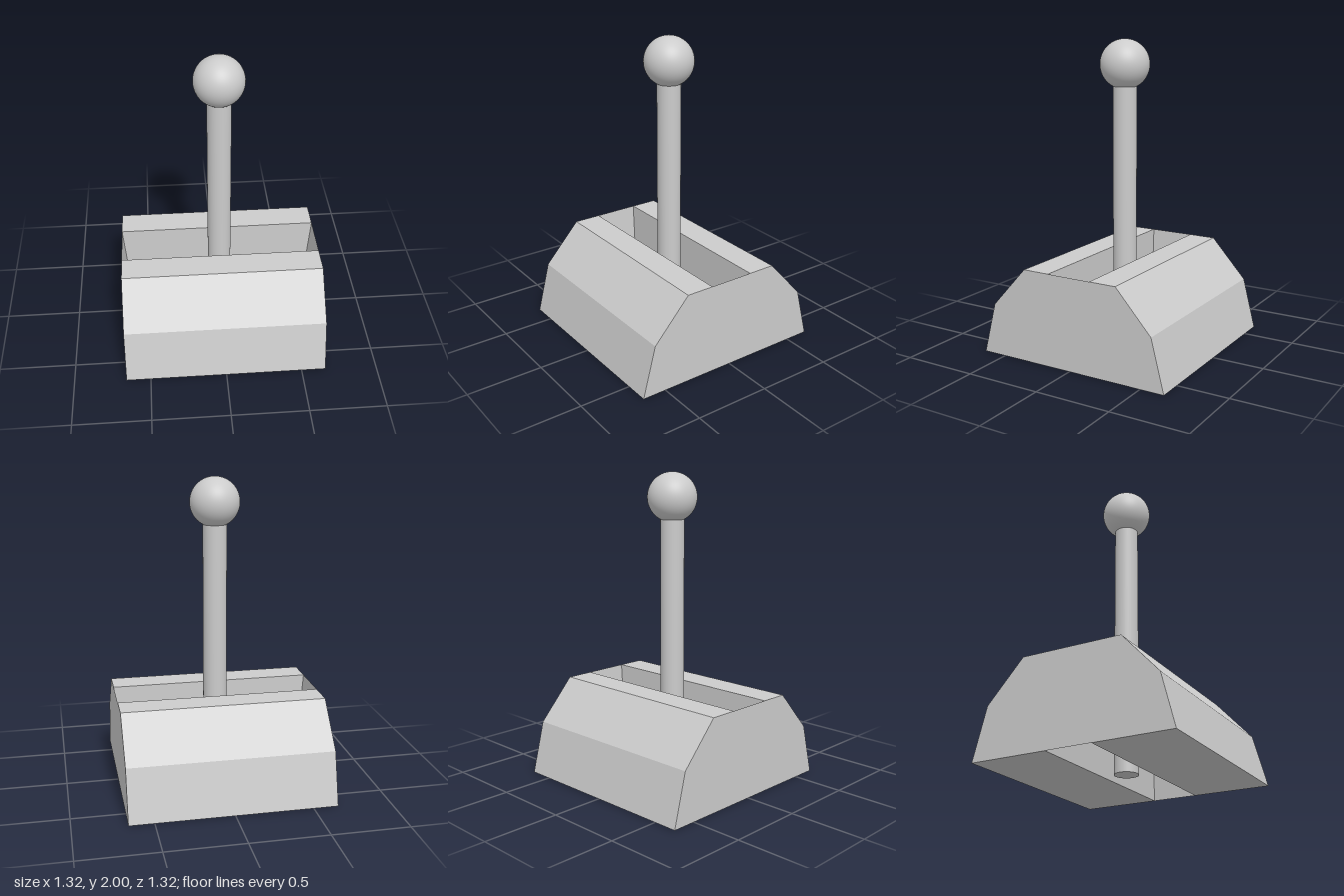
import * as THREE from 'three';

export function createModel() {
  const group = new THREE.Group();
  const grey = new THREE.MeshStandardMaterial({ color: 0xcccccc });
  const flat = new THREE.MeshStandardMaterial({ color: 0xcccccc, flatShading: true });
  const thin = new THREE.MeshStandardMaterial({ color: 0xcccccc, side: THREE.DoubleSide });

  const half = 0.66;    // half the base's length and depth
  const slot = 0.15;    // half the slot's width at its mouths
  const height = 0.6;
  const waist = 0.3;    // height where the slot is narrowest

  function add(name, geometry, material) {
    const mesh = new THREE.Mesh(geometry, material);
    mesh.name = name;
    group.add(mesh);
    return mesh;
  }

  // Extrudes a profile and centres it along its depth
  function prism(points, depth) {
    const shape = new THREE.Shape(points.map(([x, y]) => new THREE.Vector2(x, y)));
    return new THREE.ExtrudeGeometry(shape, { depth, bevelEnabled: false })
      .translate(0, 0, -depth / 2);
  }

  // Bevelled base halves on both sides of the slot
  const sideProfile = [[slot, 0], [half, 0], [0.573, 0.335], [0.332, height], [slot, height], [slot - 0.006, waist]];
  // Wedge-shaped walls closing the slot's ends
  const endProfile = [[half, 0], [half, height], [half - 0.025, waist]];

  for (const [side, end, turn] of [['Front', 'Left', 0], ['Back', 'Right', Math.PI]]) {
    add('base' + side, prism(sideProfile, half * 2).rotateY(turn - Math.PI / 2), flat);
    add('slotEnd' + end, prism(endProfile, slot * 2).rotateY(turn), flat);
  }

  // Thin floor across the slot's waist
  add('slotFloor', new THREE.PlaneGeometry(1.27, 0.288).rotateX(-Math.PI / 2), thin).position.y = waist;

  // Lever running through the floor, with a ball grip
  add('leverRod', new THREE.CylinderGeometry(0.077, 0.077, 1.78, 32), grey).position.y = 0.89;
  add('leverBall', new THREE.SphereGeometry(0.16, 48, 32), grey).position.y = 1.84;

  return group;
}
